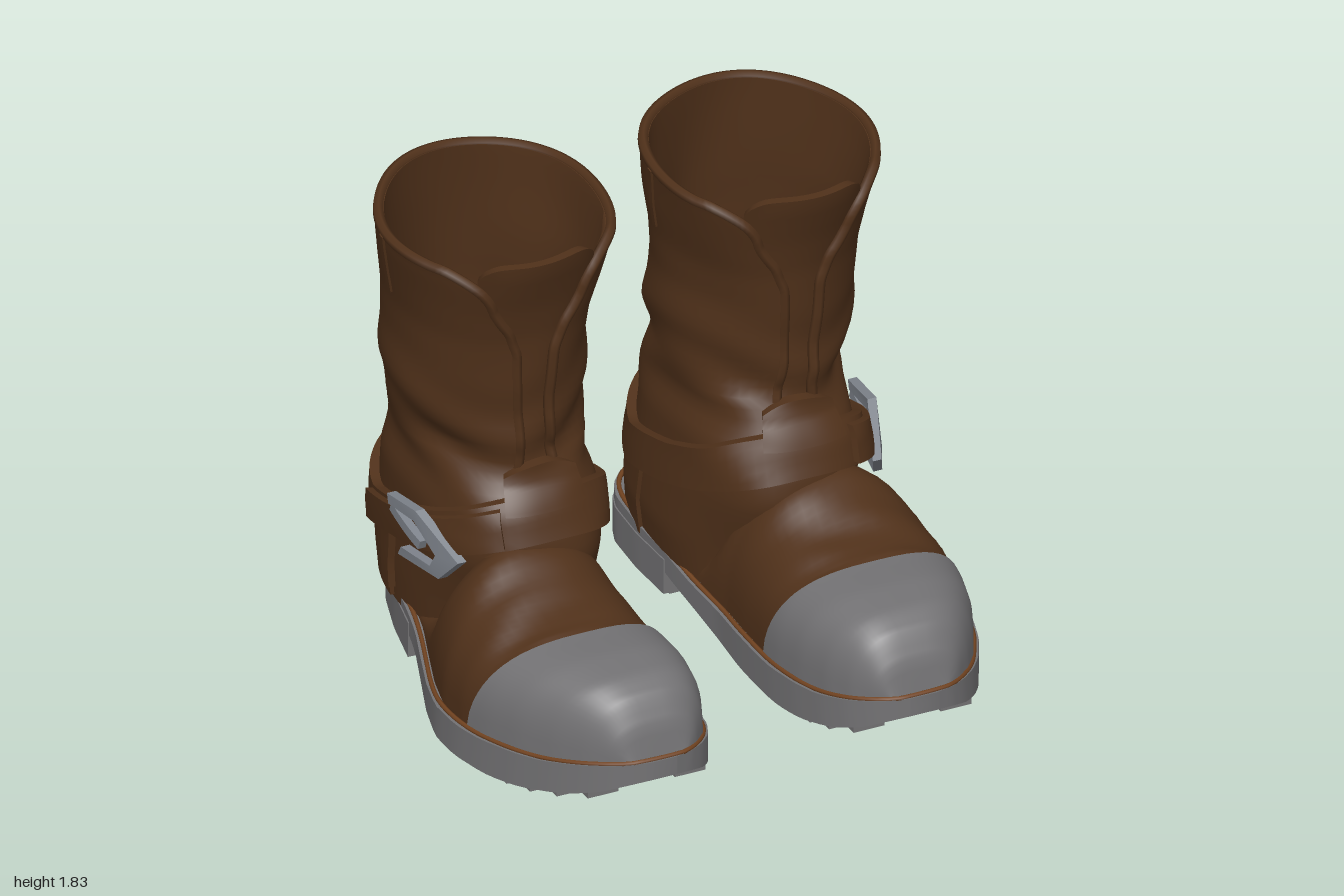
import * as THREE from 'three';
import { toCreasedNormals, mergeGeometries } from 'three/addons/utils/BufferGeometryUtils.js';

const mat = (name, color, side = THREE.FrontSide) =>
  Object.assign(new THREE.MeshStandardMaterial({ color, side }), { name });

// Linear lookup in rows of [key, value, value...]
function tab(rows, x, k = 1) {
  if (x <= rows[0][0]) return rows[0][k];
  for (let i = 1; i < rows.length; i++) {
    const a = rows[i - 1], b = rows[i];
    if (x <= b[0]) return a[k] + (b[k] - a[k]) * (x - a[0]) / (b[0] - a[0]);
  }
  return rows[rows.length - 1][k];
}

// Grid surface; f(i, j) gives a point
function surf(nu, nv, f, crease = 0.8) {
  const pos = [], idx = [];
  for (let j = 0; j <= nv; j++) for (let i = 0; i <= nu; i++) pos.push(...f(i, j));
  for (let j = 0; j < nv; j++) for (let i = 0; i < nu; i++) {
    const a = j * (nu + 1) + i, b = a + 1, d = a + nu + 1, c = d + 1;
    idx.push(a, b, c, a, c, d);
  }
  const g = new THREE.BufferGeometry();
  g.setAttribute('position', new THREE.Float32BufferAttribute(pos, 3));
  g.setIndex(idx);
  return toCreasedNormals(g, crease);
}

// Sole outline: z, inner x, outer x
const OUT = [[-.99, .4, .47], [-.98, .345, .53], [-.95, .275, .6], [-.88, .215, .665], [-.8, .185, .715],
  [-.6, .17, .78], [-.3, .175, .85], [0, .19, .955], [.15, .18, .995], [.3, .175, .995], [.45, .175, .965],
  [.6, .19, .915], [.75, .225, .84], [.85, .27, .77], [.92, .33, .7], [.96, .39, .635], [.985, .46, .56]];
const SOLE_TOP = [[-1, .2], [-.4, .18], [-.2, .15], [0, .135], [.4, .14], [.7, .165], [1, .225]];
const SOLE_BOT = [[-1, .1], [-.4, .1], [-.2, .065], [0, .025], [.2, .012], [.5, .015], [.65, .032], [.8, .065], [.9, .1], [1, .16]];
const FOOT_TOP = [[-.5, .2], [-.2, .28], [-.08, .4], [0, .64], [.1, .63], [.2, .565], [.3, .52], [.4, .485], [.48, .475],
  [.65, .48], [.8, .465], [.88, .42], [.93, .33], [.955, .21]];

// Shaft rings: y, inner x, outer x, back z, front z
const SHAFT = [[.15, .175, .8, -.955, 0], [.3, .16, .81, -.965, .02], [.45, .17, .815, -.94, .07],
  [.55, .175, .825, -.92, .1], [.65, .18, .83, -.9, .09], [.75, .18, .83, -.885, .05], [.85, .2, .815, -.875, 0],
  [.95, .2, .815, -.865, -.02], [1.05, .175, .86, -.86, -.02], [1.15, .17, .875, -.85, -.01],
  [1.3, .18, .87, -.835, .005], [1.45, .165, .88, -.815, .02], [1.6, .13, .91, -.795, .05],
  [1.72, .11, .935, -.78, .085], [1.8, .095, .95, -.77, .11]];
const GAP = [[.88, 0], [.9, .07], [1.05, .06], [1.38, .075], [1.5, .115], [1.58, .165], [1.66, .195], [1.72, .24], [1.765, .33]];
const TOP = 1.765;

const ring = (y) => {
  const [a, b, c, d] = [1, 2, 3, 4].map((k) => tab(SHAFT, y, k));
  return { cx: (a + b) / 2, rx: (b - a) / 2, cz: (c + d) / 2, rz: (d - c) / 2,
    p: tab([[.3, .9], [.5, .82], [.75, .84], [.95, 1]], y) };
};
const spow = (v, p) => Math.sign(v) * Math.abs(v) ** p;

// Point on the leather shaft; angle 0 is the front, a quarter turn is the outer side
function shaftPt(t, y, off = 0) {
  const r = ring(y);
  const folds = .013 * Math.sin(24 * y + 2.5 * Math.sin(2 * t + 1)) * Math.exp(-(((y - .97) / .2) ** 2));
  const o = off + folds + .004 * Math.sin(5 * t + 7 * y);
  const lean = THREE.MathUtils.smoothstep(y, 1.2, TOP);
  return [r.cx + (r.rx + o) * spow(Math.sin(t), r.p), y - .05 * Math.cos(t) * lean,
    r.cz + (r.rz + o) * spow(Math.cos(t), r.p)];
}
const gapAngle = (y) => Math.asin(tab(GAP, y) / ring(y).rx);

// Raised leather piece lying on the shaft, with its edges turned in
function patch(t0, t1, low, high, off, depth = off + .01, nu = 24, nv = 12) {
  const val = (v, t) => (typeof v === 'function' ? v(t) : v);
  return surf(nu + 2, nv + 2, (i, j) => {
    const u = THREE.MathUtils.clamp((i - 1) / nu, 0, 1), v = THREE.MathUtils.clamp((j - 1) / nv, 0, 1);
    const edge = i === 0 || j === 0 || i === nu + 2 || j === nv + 2;
    const t = t0 + (t1 - t0) * u, a = val(low, t), b = val(high, t);
    return shaftPt(t, a + (b - a) * v, edge ? off - depth : off);
  });
}

// Arched foot section swept from heel to toe
function foot(t0, t1, nv, grow) {
  return surf(28, nv, (i, j) => {
    const a = Math.PI * i / 28, s = Math.sin(a);
    const t = t0 + (t1 - t0) * Math.sin(j / nv * Math.PI / 2);
    const z = t - .13 * (1 - s) * tab([[.47, 1], [.955, 0]], t);
    const x0 = tab(OUT, z, 1), x1 = tab(OUT, z, 2), base = tab(SOLE_TOP, z) - .01;
    const half = Math.max(.005, (x1 - x0) / 2 - .032 + grow);
    const p = tab([[0, .95], [.4, .72], [.7, .65]], t);
    const crumple = t < .45 ? .006 * Math.sin(30 * t + 5 * a) * s : 0;
    return [(x0 + x1) / 2 + half * spow(Math.cos(a), p),
      base + Math.max(0, tab(FOOT_TOP, t) - base + grow + crumple) * s ** p, z];
  });
}

// Flat slab following the sole outline, closed at both ends
function slab(z0, z1, bot, top, grow, n) {
  return surf(4, n + 2, (i, j) => {
    const k = THREE.MathUtils.clamp(j - 1, 0, n);
    const z = (z0 + z1) / 2 - (z1 - z0) / 2 * Math.cos(Math.PI * k / n);
    const a = tab(OUT, z, 1) - grow, b = tab(OUT, z, 2) + grow, right = i === 1 || i === 2;
    if (j === 0 || j === n + 2) return [(a + b) / 2, (bot(z) + top(z)) / 2, z];
    return [right ? b : a, i === 2 || i === 3 ? top(z) : bot(z), z];
  }, 0.6);
}

// Tread blocks along both edges
function lugs(zs, y) {
  const list = [];
  for (const z of zs) for (const k of [1, 2]) {
    const b = new THREE.BoxGeometry(.12, .024, .06);
    b.translate(tab(OUT, z, k) + (k === 1 ? .085 : -.085), y(z), z);
    list.push(b);
  }
  return mergeGeometries(list);
}

function tube(points, radius, closed, n) {
  const curve = new THREE.CatmullRomCurve3(points.map((p) => new THREE.Vector3(...p)), closed);
  return new THREE.TubeGeometry(curve, n, radius, 6, closed);
}

function edgePiping() {
  const left = [], rim = [], right = [], g = gapAngle(TOP);
  for (let i = 0; i < 16; i++) {
    const y = .9 + (TOP - .9) * i / 16, a = gapAngle(y);
    left.push(shaftPt(a, y, -.012));
    right.unshift(shaftPt(-a, y, -.012));
  }
  for (let i = 0; i <= 30; i++) rim.push(shaftPt(g + (2 * Math.PI - 2 * g) * i / 30, TOP, -.015));
  return tube([...left, ...rim, ...right], .02, false, 180);
}

// Shaft wall: up the outside, over the rim, down the inside to the insole
function shaftWall() {
  const nu = 56, up = 44, down = 32, floor = .29;
  return surf(nu, up + down + 2, (i, j) => {
    const outer = j <= up, k = (j - up - 1) / down;
    const y = outer ? .15 + (TOP - .15) * j / up : TOP - (TOP - floor) * Math.min(k, 1);
    if (k > 1) { const r = ring(floor); return [r.cx, floor, r.cz]; }
    const a = gapAngle(y);
    return shaftPt(a + (2 * Math.PI - 2 * a) * i / nu, y, outer ? 0 : -.035);
  }, 1);
}

// Buckle parts are bent to the outer side of the strap
function buckleFrame() {
  const outline = [[0, .59], [.19, .725], [.38, .705], [.37, .668], [.2, .68], [.09, .588], [.115, .537],
    [.28, .537], [.3, .5], [.075, .5]];
  const shape = new THREE.Shape(outline.map(([x, y]) => new THREE.Vector2(x, y)));
  return bend(new THREE.ExtrudeGeometry(shape, { depth: .035, bevelEnabled: false }));
}
function bend(g) {
  const p = g.attributes.position, r = ring(.62);
  for (let i = 0; i < p.count; i++) {
    const z = -p.getX(i), c = Math.min(1, Math.abs((z - r.cz) / (r.rz + .05)));
    const x = r.cx + (r.rx + .05) * (1 - c ** (2 / r.p)) ** (r.p / 2);
    p.setXYZ(i, x + .008 + p.getZ(i), p.getY(i), z);
  }
  return toCreasedNormals(g, .5);
}

function mirrored(geo) {
  const g = geo.index ? geo.toNonIndexed() : geo.clone();
  g.scale(-1, 1, 1);
  for (const a of [g.attributes.position, g.attributes.normal])
    for (let i = 0; i < a.count; i += 3) {
      const b = [a.getX(i + 1), a.getY(i + 1), a.getZ(i + 1)];
      a.setXYZ(i + 1, a.getX(i + 2), a.getY(i + 2), a.getZ(i + 2));
      a.setXYZ(i + 2, ...b);
    }
  return g;
}

export function createModel() {
  const leather = mat('brown leather', 0x50311a, THREE.DoubleSide);
  const stitch = mat('welt stitching', 0x734421);
  const grey = mat('grey rubber and steel', 0x737274);
  const metal = mat('buckle metal', 0x7d828a);

  // Strap height dips along the sides and rises at the front and the heel
  const strapY = (t) => tab([[-1, .57], [-.75, .53], [-.4, .495], [-.1, .54], [.2, .6], [.5, .65], [.85, .715], [1, .74]], Math.cos(t));
  const band = (h) => [(t) => strapY(t) - h, (t) => strapY(t) + h];
  const weltPts = [];
  for (const k of [1, 2]) for (let i = 0; i < 24; i++) {
    const z = .965 * Math.cos(Math.PI * (k === 1 ? i : 24 - i) / 24);
    weltPts.push([tab(OUT, z, k) + (k === 1 ? .018 : -.018), tab(SOLE_TOP, z) + .004, z]);
  }
  const heelZ = [-.86, -.77, -.68, -.59, -.5, -.43];
  const soleZ = [...Array(11)].map((_, i) => .84 - i * .105);
  const prong = new THREE.BoxGeometry(.2, .038, .03, 4).rotateZ(.35).translate(.27, .625, .015);

  const parts = [
    ['shaft', shaftWall(), leather],
    ['edgePiping', edgePiping(), leather],
    ['tongue', patch(-.62, .62, .82, (t) => 1.82 - 1.2 * t ** 6, -.025, .035, 20, 24), leather],
    ['tonguePad', patch(-.4, .4, .76, (t) => .92 - .25 * t * t, .035), leather],
    ['backPanel', patch(Math.PI - .32, Math.PI + .32, .6, 1.76, .012, .03, 10, 30), leather],
    ['outerSeam', patch(1.6, 1.66, 1.5, 1.76, .008, .02, 2, 10), leather],
    ['innerSeam', patch(-1.66, -1.6, 1.5, 1.76, .008, .02, 2, 10), leather],
    ['heelCounter', patch(1.75, 2 * Math.PI - 1.75, .16, .46, .014, .03, 32), leather],
    ['vamp', foot(-.5, .49, 40, 0), leather],
    ['toeCap', foot(.47, .955, 24, .012), grey],
    ['ankleStrap', patch(0, 2 * Math.PI, ...band(.08), .033, .06, 64, 6), leather],
    ['strapTail', patch(.45, 1.97, ...band(.065), .058, .05, 24, 4), leather],
    ['strapKeeper', patch(1.72, 1.86, .2, .5, .025, .05, 4, 6), leather],
    ['buckle', buckleFrame(), metal],
    ['buckleProng', bend(prong), metal],
    ['sole', slab(-.99, .985, (z) => tab(SOLE_BOT, z), (z) => tab(SOLE_TOP, z), 0, 56), grey],
    ['heelBlock', slab(-.99, -.39, () => .012, () => .15, .005, 24), grey],
    ['soleLugs', lugs(soleZ, (z) => tab(SOLE_BOT, z)), grey],
    ['heelLugs', lugs(heelZ, () => .012), grey],
    ['weltStitching', tube(weltPts, .009, true, 120), stitch],
  ];

  const model = new THREE.Group();
  model.name = 'boots';
  for (const side of ['left', 'right']) {
    const boot = new THREE.Group();
    boot.name = side + 'Boot';
    for (const [name, geo, material] of parts) {
      const mesh = new THREE.Mesh(side === 'left' ? geo : mirrored(geo), material);
      mesh.name = name;
      boot.add(mesh);
    }
    model.add(boot);
  }
  return model;
}
